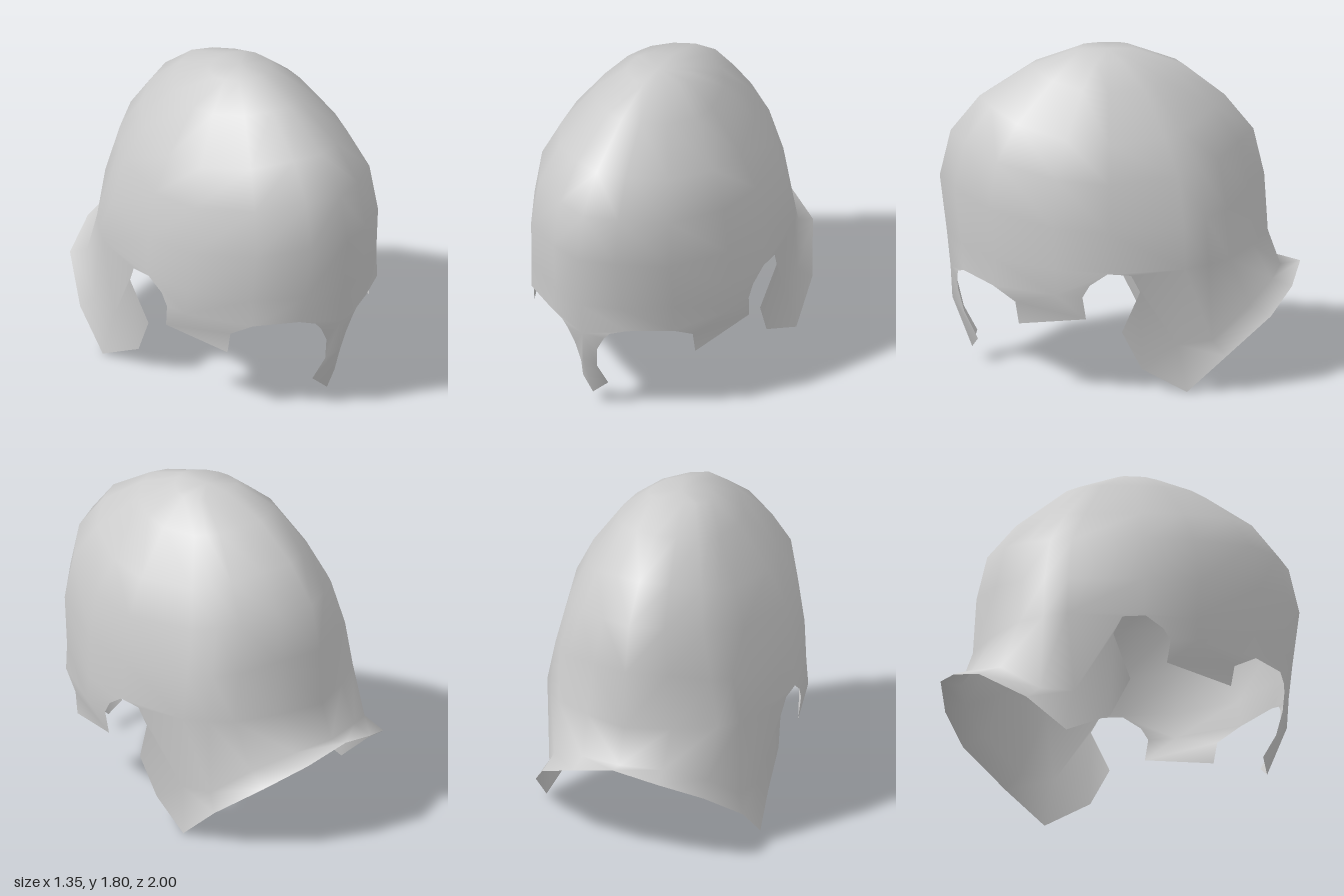
import * as THREE from 'three';

const CZ = 0.07; // z of the widest point of every section

// Unit half section, from front centre round the left side to back centre
const SECTION = [
  [0, 1], [0.3, 0.915], [0.667, 0.715], [0.93, 0.335], [1, 0],
  [0.935, -0.475], [0.83, -0.62], [0.7, -0.755], [0.37, -0.9], [0, -1],
];

// Bowl sections from the crown down: y at centre, y at sides, half width, front z, back z, narrowing to the back
const ROWS = [
  [1.8, 1.8, 0, CZ, CZ, 0],
  [1.8, 1.78, 0.18, 0.25, -0.08, 0],
  [1.71, 1.65, 0.34, 0.5, -0.35, 0.08],
  [1.53, 1.4, 0.52, 0.78, -0.58, 0.2],
  [1.33, 1.2, 0.62, 0.94, -0.74, 0.22],
  [1.07, 0.93, 0.66, 1.0, -0.8, 0.1],
  [0.74, 0.71, 0.677, 0.96, -0.82, 0],
];

// Flared neck guard, from the side (section column 5) to back centre
const GUARD_MID = [
  [0.59, 0.26, -0.31], [0.565, 0.28, -0.5], [0.455, 0.45, -0.71], [0.24, 0.53, -0.84], [0, 0.54, -0.89],
];
const GUARD_RIM = [
  [0.635, 0, -0.36], [0.615, 0.2, -0.58], [0.48, 0.39, -0.83], [0.25, 0.49, -0.95], [0, 0.56, -1],
];

// Brow line, from front centre to the top of the ear opening
const BROW = [
  [0, 0.54, 0.94], [0.24, 0.59, 0.87], [0.45, 0.57, 0.715], [0.64, 0.57, 0.37], [0.672, 0.7, 0.08],
];

// Free edges of the pieces that hang below
const NOSE_EDGE = [
  [0.15, 0.56, 0.9], [0.115, 0.52, 0.905], [0.07, 0.43, 0.9],
  [0.05, 0.29, 0.865], [0.08, 0.14, 0.79], [0, 0.07, 0.82], [0, 0.36, 0.93],
];
const CHEEK_EDGE = [
  [0.66, 0.63, 0.18], [0.655, 0.56, 0.22], [0.645, 0.43, 0.2], [0.51, 0.365, 0.57], [0.505, 0.49, 0.59],
];
const FLAP_EDGE = [
  [0.585, 0.12, -0.11], [0.605, 0.34, 0], [0.655, 0.59, -0.1], [0.67, 0.69, -0.05],
];

export function createModel() {
  const positions = [];
  const ids = new Map();

  // Shared vertices, so that normals run smoothly across parts
  function vertex([x, y, z]) {
    const key = [x, y, z].map((v) => Math.round(v * 1e4)).join();
    if (!ids.has(key)) {
      ids.set(key, positions.length / 3);
      positions.push(x, y, z);
    }
    return ids.get(key);
  }

  // A triangle and its mirror image
  function triangle(part, a, b, c) {
    const flip = ([x, y, z]) => [x === 0 ? 0 : -x, y, z];
    part.push(vertex(a), vertex(b), vertex(c));
    part.push(vertex(flip(a)), vertex(flip(c)), vertex(flip(b)));
  }

  // Surface between successive rows of points, top to bottom
  function loft(rows) {
    const part = [];
    for (let r = 0; r < rows.length - 1; r++) {
      for (let c = 0; c < rows[r].length - 1; c++) {
        const a = rows[r][c], b = rows[r + 1][c];
        const d = rows[r + 1][c + 1], e = rows[r][c + 1];
        triangle(part, a, b, d);
        triangle(part, a, d, e);
      }
    }
    return part;
  }

  // Filled outline, triangulated in unrolled angle and height
  function fill(outline) {
    const part = [];
    const flat = outline.map(([x, y, z]) => new THREE.Vector2(Math.atan2(x, z - CZ), y));
    for (const [i, j, k] of THREE.ShapeUtils.triangulateShape(flat, [])) {
      const ccw = THREE.ShapeUtils.area([flat[i], flat[j], flat[k]]) > 0;
      const order = ccw ? [i, j, k] : [i, k, j];
      triangle(part, ...order.map((n) => outline[n]));
    }
    return part;
  }

  // Each section dips from the centre line towards the sides
  const rings = ROWS.map(([y, ySide, w, front, back, narrow]) =>
    SECTION.map(([sx, sz]) => [
      sx * w * (1 + narrow * Math.min(sz, 0)),
      y + (ySide - y) * sx * sx,
      CZ + sz * (sz > 0 ? front - CZ : CZ - back),
    ]));
  const base = rings[rings.length - 1];

  const parts = {
    bowl: loft(rings),
    browBand: loft([base.slice(0, 5), BROW]),
    noseGuard: fill([BROW[0], BROW[1], ...NOSE_EDGE]),
    cheekGuard: fill([...BROW.slice(2), ...CHEEK_EDGE]),
    sideFlap: fill([base[4], base[5], GUARD_MID[0], GUARD_RIM[0], ...FLAP_EDGE, BROW[4]]),
    neckGuard: loft([base.slice(5), GUARD_MID, GUARD_RIM]),
  };

  // Normals of the whole shell, then one mesh per part
  const shell = new THREE.BufferGeometry();
  shell.setAttribute('position', new THREE.Float32BufferAttribute(positions, 3));
  shell.setIndex(Object.values(parts).flat());
  shell.computeVertexNormals();

  const material = new THREE.MeshStandardMaterial({ color: 0xcccccc, side: THREE.DoubleSide });
  const group = new THREE.Group();
  group.name = 'helmet';
  for (const [name, index] of Object.entries(parts)) {
    shell.setIndex(index);
    const mesh = new THREE.Mesh(shell.toNonIndexed(), material);
    mesh.name = name;
    group.add(mesh);
  }
  return group;
}
